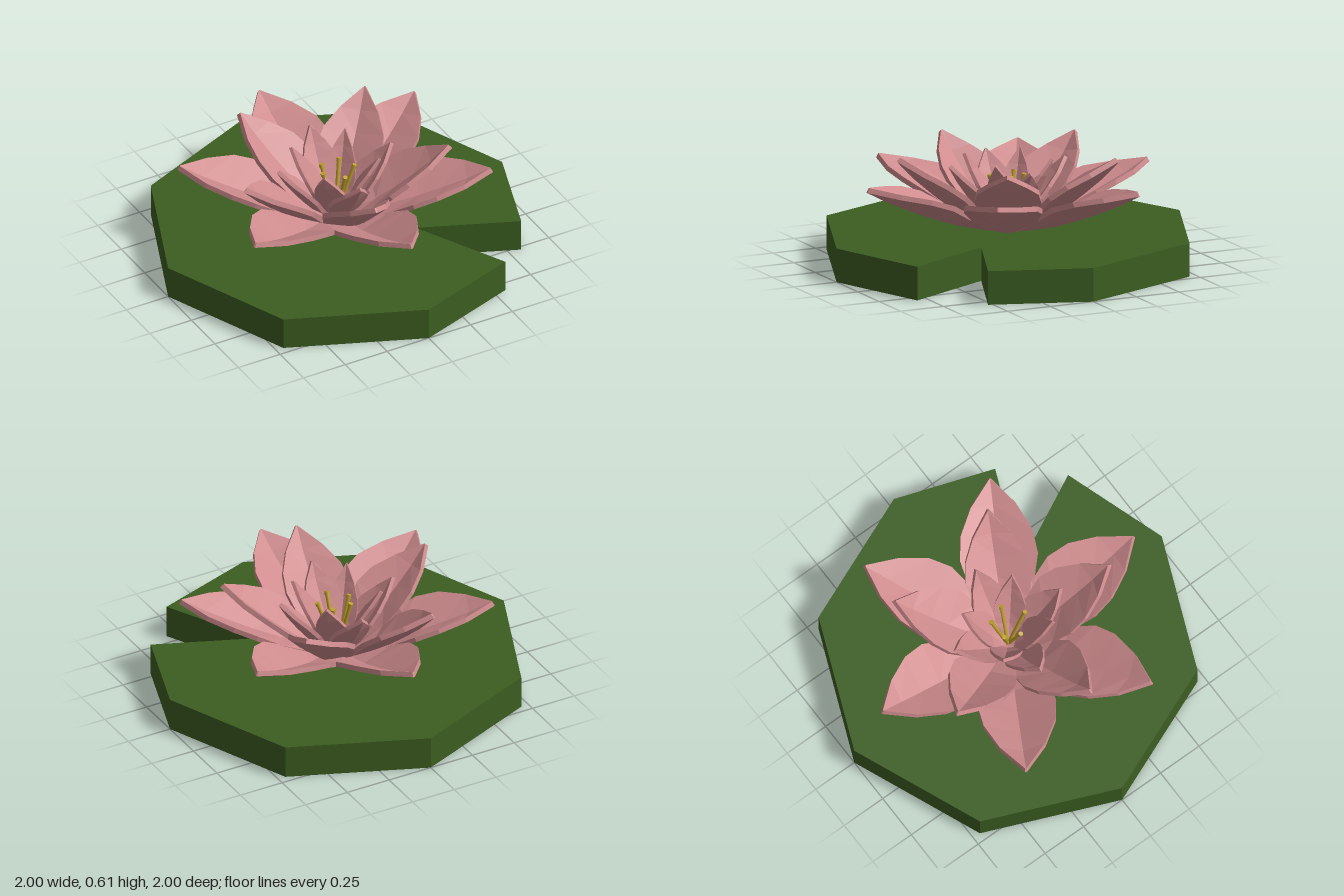
import * as THREE from 'three';

const padGreen = new THREE.MeshStandardMaterial({ color: 0x3c5e21, side: THREE.DoubleSide });
const petalPink = new THREE.MeshStandardMaterial({ color: 0xcf8c8e });
const stamenGold = new THREE.MeshStandardMaterial({ color: 0xc4a52e });
padGreen.name = 'padGreen';
petalPink.name = 'petalPink';
stamenGold.name = 'stamenGold';
petalPink.flatShading = true;
padGreen.flatShading = true;

const PAD_TOP = 0.18;
const BASE_Y = 0.208;
// Petal stations: distance, rise, half-width and edge lift, each as a fraction
const STATIONS = [
  [0, 0, 0.2, 0], [0.16, 0.035, 0.52, 0.08], [0.36, 0.18, 0.82, 0.26],
  [0.54, 0.37, 1, 0.4], [0.69, 0.55, 0.92, 0.36], [0.85, 0.76, 0.58, 0.2], [1, 1, 0.02, 0],
];

// Cupped, pointed petal: upper and lower skins with a centre crease, closed by a rim
function petalGeometry(length, rise, halfWidth, thickness) {
  const pos = [], index = [];
  const n = STATIONS.length;
  const at = (i) => STATIONS[Math.min(Math.max(i, 0), n - 1)];
  for (const skin of [0, 1]) {
    STATIONS.forEach(([s, h, w, lift], i) => {
      const dz = (at(i + 1)[0] - at(i - 1)[0]) * length;
      const dy = (at(i + 1)[1] - at(i - 1)[1]) * rise;
      const d = Math.hypot(dz, dy);
      for (const side of [-1, 0, 1]) {
        const off = Math.abs(side) * lift * halfWidth - skin * thickness;
        pos.push(side * w * halfWidth, h * rise + off * dz / d, s * length - off * dy / d);
      }
    });
  }
  const quad = (a, b, c, d) => index.push(a, b, c, a, c, d);
  const low = n * 3;
  for (let i = 0; i < n - 1; i++) {
    const r = i * 3;
    for (let j = 0; j < 2; j++) {
      const a = r + j;
      quad(a, a + 3, a + 4, a + 1);
      quad(low + a, low + a + 1, low + a + 4, low + a + 3);
    }
    quad(r, low + r, low + r + 3, r + 3);
    quad(r + 2, r + 5, low + r + 5, low + r + 2);
  }
  const tip = (n - 1) * 3;
  for (let j = 0; j < 2; j++) {
    quad(j, j + 1, low + j + 1, low + j);
    quad(tip + j, low + tip + j, low + tip + j + 1, tip + j + 1);
  }
  const g = new THREE.BufferGeometry();
  g.setAttribute('position', new THREE.Float32BufferAttribute(pos, 3));
  g.setIndex(index);
  const flat = g.toNonIndexed();
  flat.computeVertexNormals();
  return flat;
}

// Ring of equal petals; startAngle is measured from +x towards +z
function petalRing(name, count, startAngle, length, tipY, halfWidth, thickness) {
  const ring = new THREE.Group();
  ring.name = name;
  const geometry = petalGeometry(length, tipY - BASE_Y, halfWidth, thickness);
  for (let i = 0; i < count; i++) {
    const petal = new THREE.Mesh(geometry, petalPink);
    petal.name = 'petal';
    petal.position.y = BASE_Y;
    petal.rotation.y = Math.PI / 2 - THREE.MathUtils.degToRad(startAngle + i * 360 / count);
    ring.add(petal);
  }
  return ring;
}

// Thin rod between two points
function rod(name, from, to, radius) {
  const dir = to.clone().sub(from);
  const mesh = new THREE.Mesh(new THREE.CylinderGeometry(radius, radius, dir.length(), 6), stamenGold);
  mesh.name = name;
  mesh.position.copy(from).addScaledVector(dir, 0.5);
  mesh.quaternion.setFromUnitVectors(new THREE.Vector3(0, 1, 0), dir.normalize());
  return mesh;
}

// Eight-sided leaf with a wedge cut out of one corner: a top and a skirt, open below
function lilyPad() {
  const outline = [];
  for (let i = 0; i < 8; i++) {
    const a = i * Math.PI / 4;
    if (i === 1) outline.push([0.82, 0.525], [0.31, 0.31], [0.565, 0.81]);
    else outline.push([Math.cos(a), Math.sin(a)]);
  }
  const topGeometry = new THREE.ShapeGeometry(
    new THREE.Shape(outline.map(([x, z]) => new THREE.Vector2(x, -z))));
  topGeometry.rotateX(-Math.PI / 2).translate(0, PAD_TOP, 0);
  const top = new THREE.Mesh(topGeometry, padGreen);
  top.name = 'padTop';

  const wall = [];
  outline.forEach(([x0, z0], i) => {
    const [x1, z1] = outline[(i + 1) % outline.length];
    wall.push(x0, 0, z0, x0, PAD_TOP, z0, x1, PAD_TOP, z1);
    wall.push(x0, 0, z0, x1, PAD_TOP, z1, x1, 0, z1);
  });
  const wallGeometry = new THREE.BufferGeometry();
  wallGeometry.setAttribute('position', new THREE.Float32BufferAttribute(wall, 3));
  wallGeometry.computeVertexNormals();
  const skirt = new THREE.Mesh(wallGeometry, padGreen);
  skirt.name = 'padSkirt';

  const pad = new THREE.Group();
  pad.name = 'lilyPad';
  pad.add(top, skirt);
  return pad;
}

export function createModel() {
  const model = new THREE.Group();
  model.name = 'waterLily';
  model.add(lilyPad());

  // Petals, from the wide outer ring to the upright heart
  model.add(
    petalRing('outerPetals', 6, 90, 0.81, 0.485, 0.205, 0.028),
    petalRing('middlePetals', 5, 26.5, 0.59, 0.605, 0.175, 0.028),
    petalRing('innerPetals', 4, 5, 0.315, 0.55, 0.105, 0.022),
    petalRing('heartPetals', 4, -48, 0.23, 0.575, 0.085, 0.018),
  );

  // Stamens fanning out from the centre, each with a small anther
  const stamens = new THREE.Group();
  stamens.name = 'stamens';
  const root = new THREE.Vector3(0, 0.175, 0);
  for (const [x, z] of [[-0.05, -0.06], [0.06, -0.065], [-0.085, 0.02], [0, 0.11], [0.1, 0.03]]) {
    const tip = new THREE.Vector3(x, 0.485, z);
    stamens.add(rod('filament', root, tip, 0.01));
    stamens.add(rod('anther', root.clone().lerp(tip, 0.93), tip, 0.013));
  }
  model.add(stamens);

  // Short stalk joining flower and leaf
  model.add(rod('stalk', new THREE.Vector3(0, 0.175, 0), new THREE.Vector3(0, 0.205, 0), 0.035));
  return model;
}
